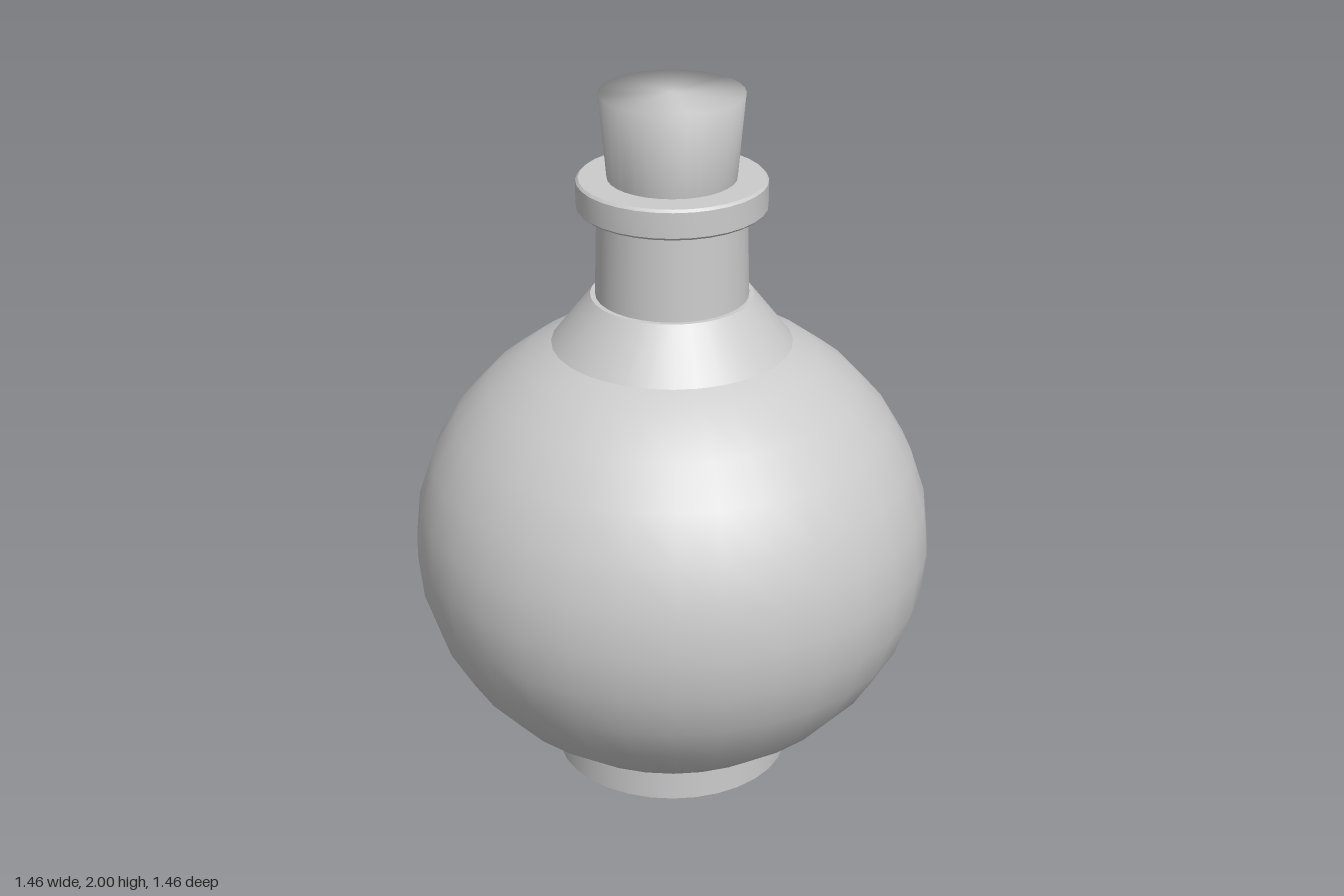
import * as THREE from 'three';
import { mergeVertices, toCreasedNormals } from 'three/addons/utils/BufferGeometryUtils.js';

const SIDES = 32;

export function createModel() {
  const group = new THREE.Group();
  const material = new THREE.MeshStandardMaterial({ color: 0xcccccc });

  const add = (name, geometry, y = 0) => {
    const mesh = new THREE.Mesh(geometry, material);
    mesh.name = name;
    mesh.position.y = y;
    group.add(mesh);
    return mesh;
  };

  // Upright round section between two heights
  const round = (bottomRadius, topRadius, y0, y1) =>
    new THREE.CylinderGeometry(topRadius, bottomRadius, y1 - y0, SIDES).translate(0, (y0 + y1) / 2, 0);

  // Foot and slightly squashed round belly
  add('base', round(0.335, 0.335, 0, 0.1));
  add('belly', new THREE.SphereGeometry(0.73, SIDES, 16).scale(1, 0.92, 1), 0.69);

  // Sloping shoulder and slightly tapered neck
  add('shoulder', round(0.334, 0.225, 1.29, 1.43));
  add('neck', round(0.212, 0.204, 1.4, 1.7));

  // Flat lip ring with small bevels
  const lipProfile = [
    [0.15, 1.68], [0.253, 1.68], [0.26, 1.687],
    [0.26, 1.758], [0.253, 1.765], [0.15, 1.765],
  ].map(([x, y]) => new THREE.Vector2(x, y));
  add('lip', toCreasedNormals(new THREE.LatheGeometry(lipProfile, SIDES), 0.5));

  // Tapered stopper, shaded smoothly across its rim
  const cork = round(0.163, 0.197, 1.62, 2);
  cork.deleteAttribute('normal');
  cork.deleteAttribute('uv');
  const smoothCork = mergeVertices(cork);
  smoothCork.computeVertexNormals();
  add('stopper', smoothCork);

  return group;
}
